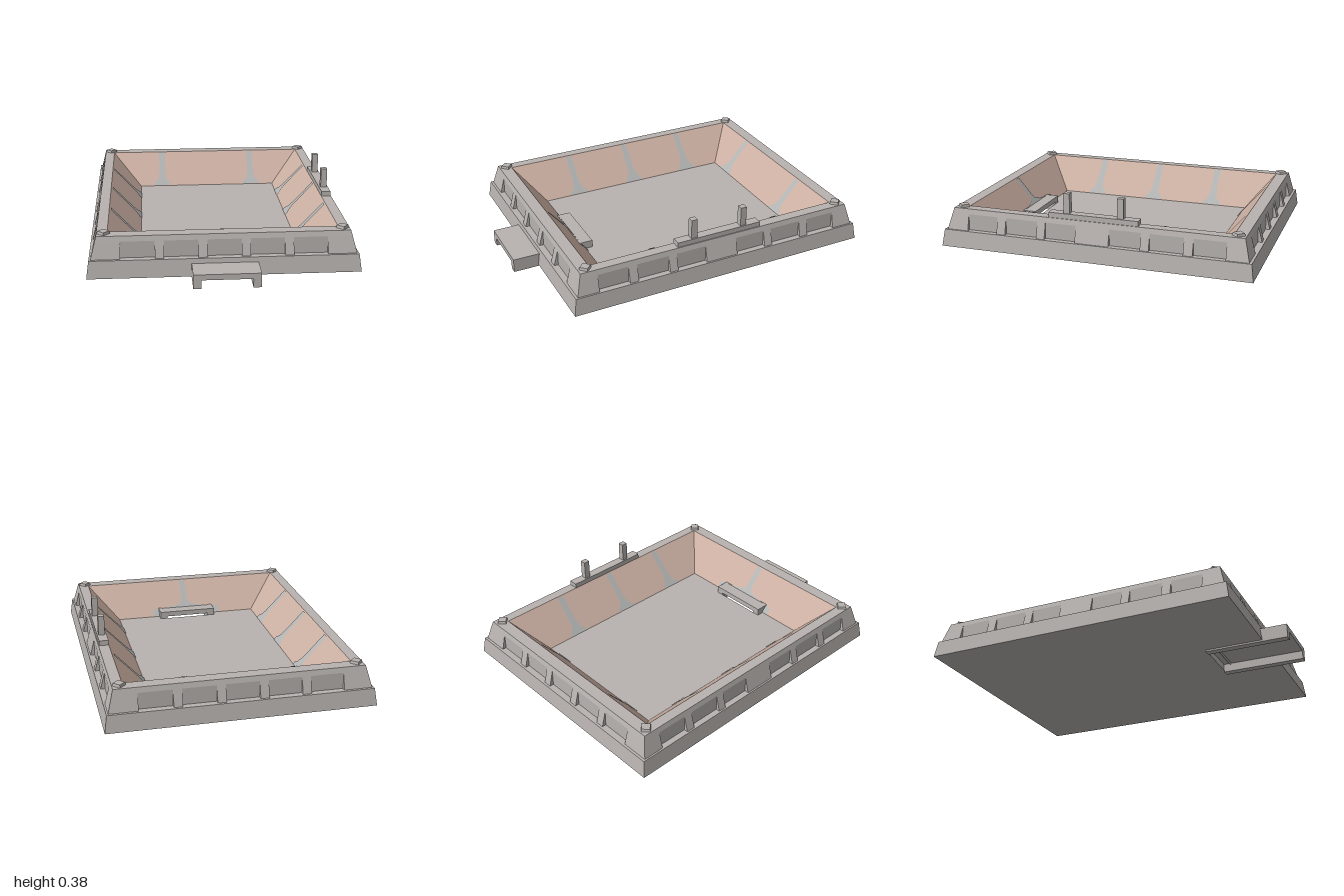
import * as THREE from 'three';

const mat = (name, color, side = THREE.FrontSide) => {
  const m = new THREE.MeshStandardMaterial({ color, side });
  m.name = name;
  return m;
};

// Quads between successive rectangles [x0, x1, z0, z1, y]; the +z side can be left open
function loft(rings, openFront = false) {
  const pos = [];
  const corners = ([x0, x1, z0, z1, y]) => [[x0, y, z1], [x1, y, z1], [x1, y, z0], [x0, y, z0]];
  for (let i = 0; i < rings.length - 1; i++) {
    const a = corners(rings[i]), b = corners(rings[i + 1]);
    for (let k = openFront ? 1 : 0; k < 4; k++) {
      const n = (k + 1) % 4;
      pos.push(...a[k], ...a[n], ...b[n], ...a[k], ...b[n], ...b[k]);
    }
  }
  const g = new THREE.BufferGeometry();
  g.setAttribute('position', new THREE.Float32BufferAttribute(pos, 3));
  g.computeVertexNormals();
  return g;
}
const rect = (hx, hz, y) => [-hx, hx, -hz, hz, y];
const points = list => list.map(p => new THREE.Vector2(...p));

export function createModel() {
  const root = new THREE.Group();
  const tray = new THREE.Group();
  tray.name = 'tray';
  tray.position.z = -0.075;
  root.add(tray);

  const grey = mat('concreteGrey', 0xb8b3b0);
  const clay = mat('clayWall', 0xcbafa2);
  const steel = mat('paleSteel', 0xb1b4b3, THREE.DoubleSide);
  const add = (parent, name, geo, m) => {
    const mesh = new THREE.Mesh(geo, m);
    mesh.name = name;
    parent.add(mesh);
    return mesh;
  };

  const BASE = 0.01, LEDGE = 0.11, FLOOR = 0.037, RIM = 0.235;
  const rim = [0.645, 0.793], floor = [0.46, 0.625];

  // Plinth: three plain sides, a notched front and a notched underside
  add(tray, 'plinth', loft([rect(0.762, 0.926, BASE), rect(0.748, 0.912, LEDGE)], true), grey);
  const front = new THREE.ShapeGeometry(new THREE.Shape(points([
    [-0.762, BASE], [-0.14, BASE], [-0.14, 0.05], [0.14, 0.05],
    [0.14, BASE], [0.762, BASE], [0.748, LEDGE], [-0.748, LEDGE],
  ])));
  const fp = front.attributes.position;
  for (let i = 0; i < fp.count; i++) fp.setZ(i, 0.926 - 0.14 * (fp.getY(i) - BASE));
  front.computeVertexNormals();
  add(tray, 'plinthFront', front, grey);
  const under = new THREE.ShapeGeometry(new THREE.Shape(points([
    [-0.762, -0.926], [0.762, -0.926], [0.762, 0.926], [0.14, 0.926],
    [0.14, 0.58], [-0.14, 0.58], [-0.14, 0.926], [-0.762, 0.926],
  ])));
  add(tray, 'underside', under.rotateX(Math.PI / 2).translate(0, BASE, 0), grey);

  // Ledge, recessed wall and rim
  add(tray, 'outerWall', loft([
    rect(0.748, 0.912, LEDGE), rect(0.713, 0.873, LEDGE),
    rect(0.713, 0.873, 0.205), rect(0.705, 0.865, RIM), rect(...rim, RIM),
  ]), grey);

  // Sloping inner walls
  add(tray, 'innerWalls', loft([rect(...rim, RIM), rect(...floor, FLOOR)]), clay);

  // Floor, open beneath the inner end of the bracket
  const floorShape = new THREE.Shape(points([
    [-0.46, -0.625], [0.46, -0.625], [0.46, 0.625], [-0.46, 0.625],
  ]));
  floorShape.holes.push(new THREE.Path(points([
    [-0.14, -0.62], [-0.14, -0.58], [0.14, -0.58], [0.14, -0.62],
  ])));
  add(tray, 'floor', new THREE.ShapeGeometry(floorShape).rotateX(-Math.PI / 2).translate(0, FLOOR, 0), grey);

  // Corner buttresses and diamond caps
  for (const sx of [-1, 1]) for (const sz of [-1, 1]) {
    const ring = (x, z, y) => [
      Math.min(sx * 0.575, sx * x), Math.max(sx * 0.575, sx * x),
      Math.min(sz * 0.768, sz * z), Math.max(sz * 0.768, sz * z), y];
    add(tray, 'cornerButtress', loft([ring(0.738, 0.897, LEDGE), ring(0.713, 0.873, 0.205)]), grey);
    const cap = new THREE.CylinderGeometry(0.033, 0.037, 0.016, 4).toNonIndexed();
    cap.computeVertexNormals();
    add(tray, 'cornerCap', cap, grey).position.set(sx * 0.665, RIM + 0.008, sz * 0.82);
  }

  // Wedge ribs between the recesses, along each side
  const wedge = new THREE.Shape(points([[0, LEDGE], [0.025, LEDGE], [0, 0.205]]));
  const endRibs = [[-0.36, 0.05], [-0.12, 0.05], [0.12, 0.05], [0.36, 0.05]];
  const sideRibs = [[-0.557, 0.053], [-0.31, 0.05], [0, 0.2], [0.31, 0.05], [0.557, 0.053]];

  // Pale strips on the inner walls: half outlines of [half width, 0 at rim to 1 at floor]
  const narrow = [[0.02, 0.03], [0.02, 0.55], [0.024, 0.75], [0.036, 0.87], [0.055, 0.92], [0.055, 1]];
  const wide = [[0.018, 0.03], [0.02, 0.6], [0.032, 0.68], [0.075, 0.75], [0.225, 0.82], [0.225, 1]];
  const strip = (parent, u, half, axis) => {
    const left = half.map(([w, t]) => [u - w, t]).reverse();
    const g = new THREE.ShapeGeometry(new THREE.Shape(points([...half.map(([w, t]) => [u + w, t]), ...left])));
    const p = g.attributes.position;
    for (let i = 0; i < p.count; i++) {
      const t = p.getY(i);
      p.setXYZ(i, p.getX(i), THREE.MathUtils.lerp(RIM, FLOOR, t) + 0.004,
        THREE.MathUtils.lerp(rim[axis], floor[axis], t) - 0.004);
    }
    g.computeVertexNormals();
    add(parent, 'wallStrip', g, steel);
  };

  ['front', 'left', 'back', 'right'].forEach((name, i) => {
    const side = new THREE.Group();
    side.name = name + 'Side';
    side.rotation.y = i * Math.PI / 2;
    tray.add(side);
    const end = i % 2 === 0;
    for (const [u, width] of end ? endRibs : sideRibs) {
      const g = new THREE.ExtrudeGeometry(wedge, { depth: width, bevelEnabled: false });
      g.translate(0, 0, -width / 2).rotateY(-Math.PI / 2);
      add(side, 'rib', g, grey).position.set(u, 0, end ? 0.873 : 0.713);
    }
    if (i === 0) strip(side, 0, wide, 1);
    else if (i === 2) [-0.31, 0.31].forEach(u => strip(side, u, narrow, 1));
    else [-0.4, 0, 0.4].forEach(u => strip(side, u, narrow, 0));
  });

  // Staple-shaped bracket running through the front wall, closed at its inner end
  const staple = new THREE.Shape(points([
    [-0.185, 0], [-0.14, 0], [-0.14, 0.05], [0.14, 0.05],
    [0.14, 0], [0.185, 0], [0.185, 0.082], [-0.185, 0.082],
  ]));
  add(root, 'frontBracket', new THREE.ExtrudeGeometry(staple, { depth: 0.495, bevelEnabled: false }), grey)
    .position.z = 0.505;
  add(root, 'bracketEnd', new THREE.PlaneGeometry(0.28, 0.04), grey).position.set(0, 0.03, 0.505);

  // Rail with two posts on the left rim
  add(root, 'postRail', new THREE.BoxGeometry(0.055, 0.03, 0.535), grey).position.set(0.673, 0.25, -0.072);
  for (const z of [0.088, -0.232])
    add(root, 'post', new THREE.BoxGeometry(0.037, 0.12, 0.037), grey).position.set(0.674, 0.322, z);

  return root;
}
